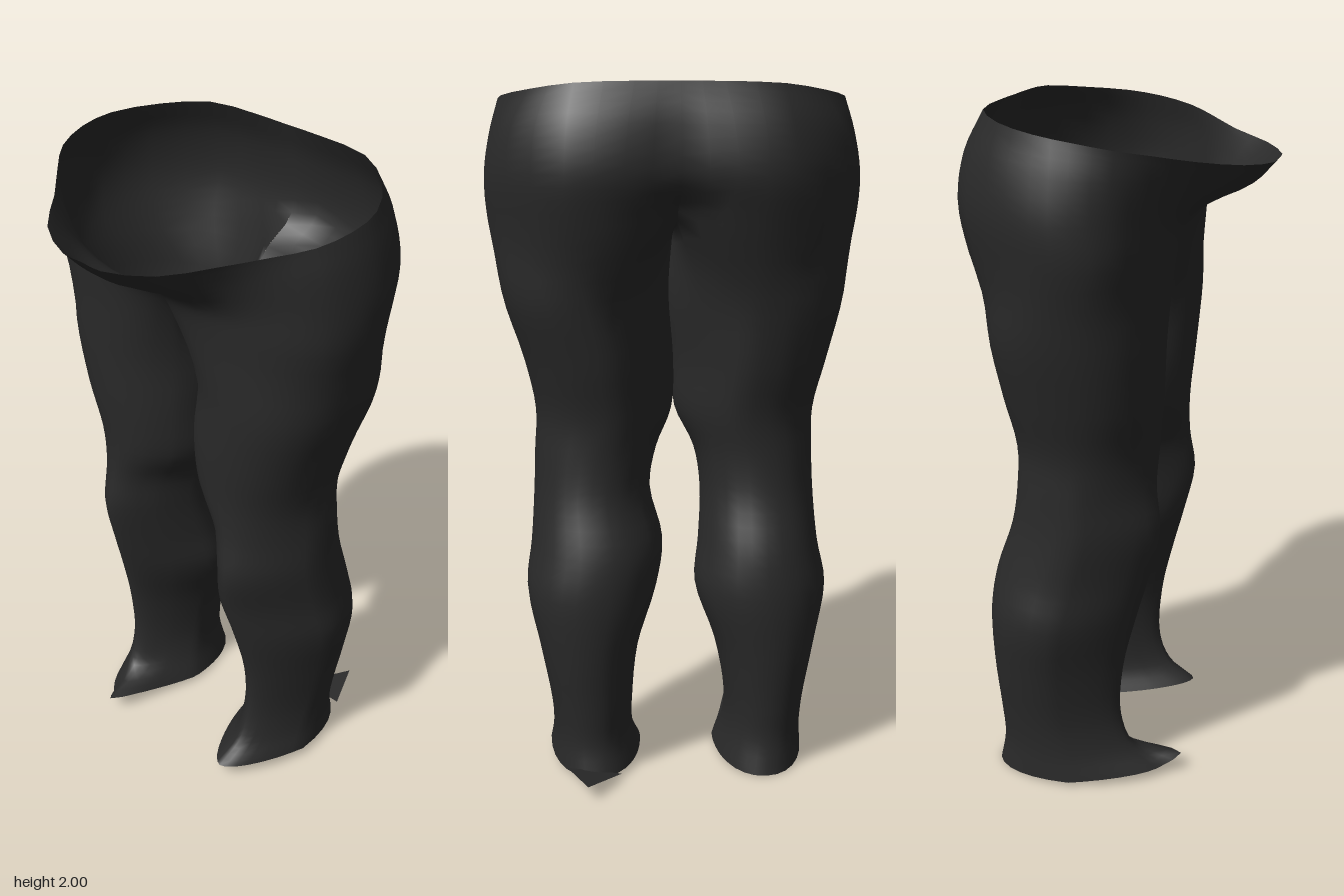
import * as THREE from 'three';
import { mergeVertices } from 'three/addons/utils/BufferGeometryUtils.js';

// Ring layout, rows per section, and the section where the legs split
const OUTER = 23, RING = 35, STEPS = 4, CROTCH = 3;

// Half loops of the hips, from centre front round the side to centre back: x, y, z
const HIPS = [
  [[0, 1.855, .44], [.07, 1.855, .44], [.2, 1.865, .38], [.3, 1.885, .27], [.39, 1.91, .18], [.46, 1.93, .1],
    [.49, 1.95, 0], [.48, 1.965, -.1], [.4, 1.98, -.22], [.28, 1.995, -.3], [.12, 2, -.31], [0, 2, -.31]],
  [[0, 1.79, .38], [.06, 1.79, .375], [.18, 1.785, .305], [.29, 1.81, .235], [.39, 1.84, .175], [.48, 1.855, .1],
    [.515, 1.86, 0], [.51, 1.87, -.1], [.45, 1.88, -.23], [.3, 1.89, -.35], [.14, 1.89, -.36], [0, 1.89, -.345]],
  [[0, 1.72, .24], [.06, 1.72, .24], [.17, 1.71, .22], [.29, 1.72, .198], [.4, 1.75, .16], [.49, 1.75, .095],
    [.53, 1.75, 0], [.53, 1.75, -.1], [.465, 1.76, -.24], [.31, 1.76, -.37], [.15, 1.75, -.38], [0, 1.73, -.345]],
  [[0, 1.645, .15], [.05, 1.64, .185], [.16, 1.63, .195], [.28, 1.63, .19], [.4, 1.63, .155], [.49, 1.63, .09],
    [.525, 1.62, 0], [.52, 1.62, -.1], [.45, 1.62, -.23], [.31, 1.62, -.345], [.11, 1.63, -.34], [0, 1.63, -.22]],
].map((row) => new THREE.CatmullRomCurve3(row.map((p) => new THREE.Vector3(...p))).getPoints(OUTER - 1));

// Leg sections: y, front z, back z, then inner and outer x of the left and the right leg
const LEGS = [
  [1.42, .185, -.305, .01, .495, -.02, .495],
  [1.22, .175, -.275, -.003, .435, -.002, .45],
  [1.07, .165, -.245, .002, .405, .004, .415],
  [.95, .165, -.24, .05, .41, .06, .415],
  [.83, .18, -.255, .07, .415, .08, .42],
  [.68, .15, -.305, .035, .425, .072, .43],
  [.55, .115, -.325, .055, .44, .06, .452],
  [.37, .075, -.32, .112, .405, .12, .42],
  [.2, .07, -.305, .13, .375, .15, .39],
  [.1, .11, -.3, .13, .37, .145, .385],
  [.025, .19, -.32, .105, .38, .12, .392],
];

const power = (v, e) => Math.sign(v) * Math.abs(v) ** e;

function legSection([y, front, back, lIn, lOut, rIn, rOut], left) {
  const [xIn, xOut] = left ? [lIn, lOut] : [rIn, rOut];
  const shin = 1 - THREE.MathUtils.smoothstep(y, 0.85, 1.2); // shins narrow toward the front
  return Array.from({ length: RING }, (_, c) => {
    const end = OUTER - 1;
    const deg = c <= end ? 140 - c * 280 / end : -140 - (c - end) * 80 / (RING - end);
    const a = THREE.MathUtils.degToRad(deg), cos = Math.cos(a), sin = Math.sin(a);
    const ahead = Math.max(0, sin), behind = Math.max(0, -sin);
    const e = ahead > 0 ? 0.92 + 0.24 * shin : 0.93;
    const p = new THREE.Vector3(
      (xIn + xOut) / 2 + (xOut - xIn) / 2 * power(cos, e) * (1 - 0.28 * shin * ahead),
      y,
      (front + back) / 2 + (front - back) / 2 * power(sin, e));
    // Thighs part toward the back
    p.x += 0.1 * (1 - shin) * Math.max(0, -cos) * behind;
    // The hem rises at the toe, and on the right ends in an inward tip
    if (y < 0.05) {
      p.y += 0.015 * sin + (left ? 0.005 : -0.008);
      if (!left) {
        const tip = Math.max(0, Math.cos(a - 2.1)) ** 14;
        p.y += 0.035 * tip;
        p.z += 0.09 * tip;
      }
    }
    return p;
  });
}

// One half of the trousers: smooth columns run from the waist (or crotch) to the hem
function addHalf(left, positions, indices) {
  const start = positions.length / 3, sign = left ? 1 : -1;
  const legRows = LEGS.map((s) => legSection(s, left));
  const last = (HIPS.length + LEGS.length - 1) * STEPS, split = CROTCH * STEPS;
  const crotchFront = HIPS[CROTCH][0], crotchBack = HIPS[CROTCH][OUTER - 1];
  const columns = Array.from({ length: RING }, (_, c) => {
    const k = (c - OUTER + 1) / (RING - OUTER + 1);
    const arch = crotchBack.clone().lerp(crotchFront, k);
    arch.y -= 0.035 * Math.sin(Math.PI * k);
    const top = c < OUTER ? HIPS.map((row) => row[c]) : [arch];
    return new THREE.CatmullRomCurve3([...top, ...legRows.map((row) => row[c])]);
  });
  for (let r = 0; r <= last; r++) {
    for (let c = 0; c < RING; c++) {
      const t = c < OUTER ? r / last : Math.max(0, (r - split) / (last - split));
      const p = columns[c].getPoint(t);
      const seam = r <= split && (c === 0 || c >= OUTER - 1);
      positions.push(seam ? 0 : sign * p.x, p.y, p.z);
    }
  }
  for (let r = 0; r < last; r++) {
    const count = r < split ? OUTER - 1 : RING;
    for (let c = 0; c < count; c++) {
      const n = (c + 1) % RING;
      const a = start + r * RING + c, b = start + r * RING + n;
      const d = a + RING, e = b + RING;
      if (left) indices.push(a, d, b, b, d, e);
      else indices.push(a, b, d, b, e, d);
    }
  }
}

function makeGeometry(positions, indices) {
  const g = new THREE.BufferGeometry();
  g.setAttribute('position', new THREE.Float32BufferAttribute(positions, 3));
  g.setIndex(indices);
  const merged = mergeVertices(g, 1e-4);
  merged.computeVertexNormals();
  return merged;
}

export function createModel() {
  const group = new THREE.Group();
  group.name = 'trousers';
  const cloth = new THREE.MeshStandardMaterial({ color: 0x292929, side: THREE.DoubleSide });
  cloth.name = 'black cloth';

  // Hips and both legs, joined along the centre seam
  const positions = [], indices = [];
  addHalf(true, positions, indices);
  addHalf(false, positions, indices);
  const body = new THREE.Mesh(makeGeometry(positions, indices), cloth);
  body.name = 'hipsAndLegs';
  group.add(body);

  // Stray fold of cloth at the left heel
  const fold = new THREE.Mesh(makeGeometry([.17, .02, -.31, .33, .04, -.3, .27, .05, -.44], [0, 1, 2]), cloth);
  fold.name = 'heelFold';
  group.add(fold);
  return group;
}
